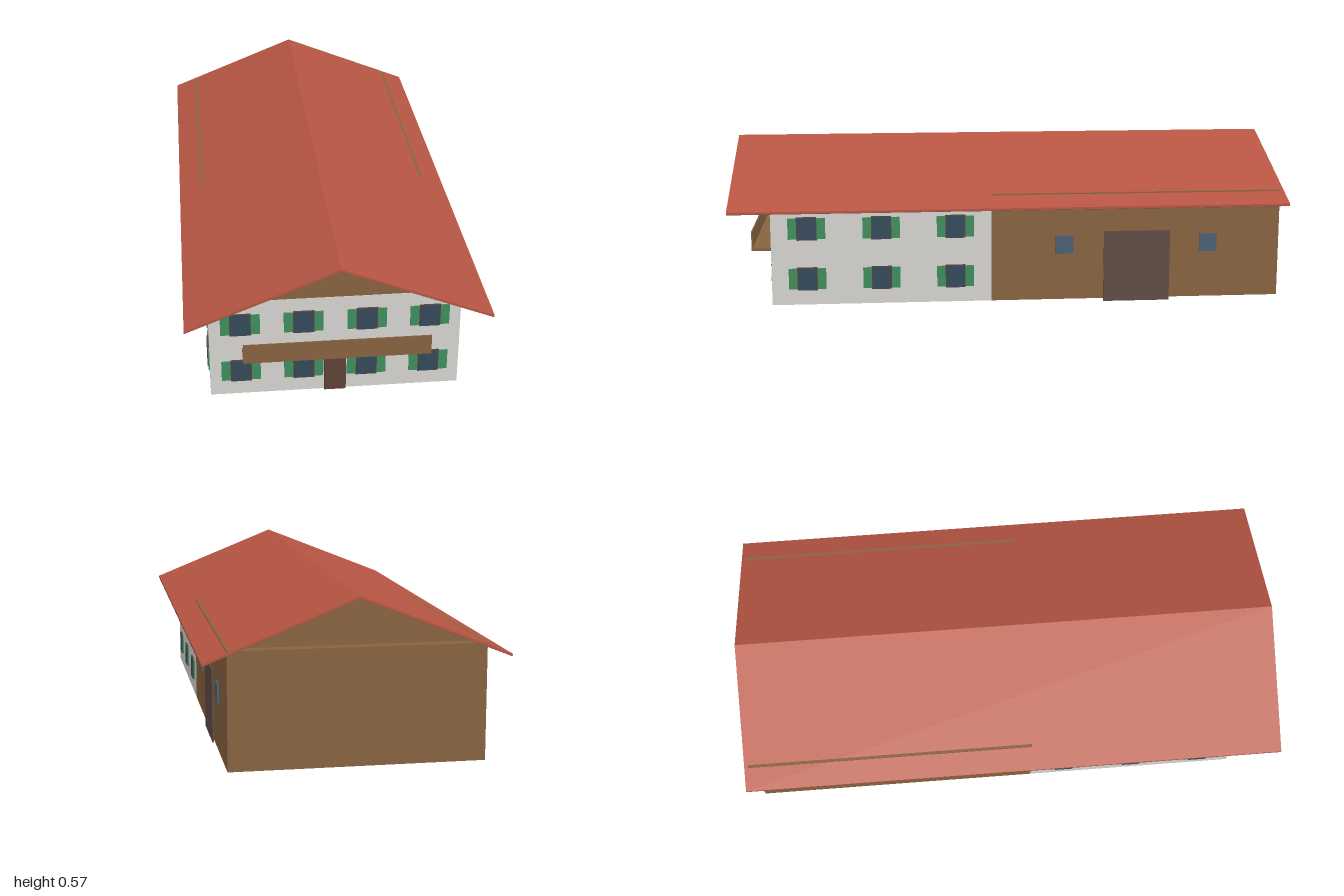
import * as THREE from 'three';

const mat = (name, color, side = THREE.FrontSide) => {
  const m = new THREE.MeshStandardMaterial({ color, side });
  m.name = name;
  return m;
};

export function createModel() {
  const plaster = mat('white plaster', 0xd6d4cf, THREE.DoubleSide);
  const timber = mat('brown timber', 0x87623f, THREE.DoubleSide);
  const tiles = mat('red tiles', 0xb65542);
  const darkWood = mat('dark wood', 0x604a43);
  const doorWood = mat('door wood', 0x5f4238);
  const green = mat('shutter green', 0x3f8d5c);
  const glass = mat('window glass', 0x34495a);
  const barnGlass = mat('barn glass', 0x4a6073);

  const model = new THREE.Group();
  model.name = 'farmhouse';

  const add = (parent, name, geometry, material) => {
    const mesh = new THREE.Mesh(geometry, material);
    mesh.name = name;
    parent.add(mesh);
    return mesh;
  };
  const box = (parent, name, material, w, h, d, x, y, z) => {
    const mesh = add(parent, name, new THREE.BoxGeometry(w, h, d), material);
    mesh.position.set(x, y, z);
    return mesh;
  };

  // Wall shells: boxes with chosen faces left open (order +x -x +y -y +z -z)
  const shell = (name, material, w, y0, y1, z0, z1, openFaces) => {
    const g = new THREE.BoxGeometry(w, y1 - y0, z1 - z0);
    const index = Array.from(g.index.array).filter((_, i) => !openFaces.includes(Math.floor(i / 6)));
    g.setIndex(index);
    g.clearGroups();
    add(model, name, g, material).position.set(0, (y0 + y1) / 2, (z0 + z1) / 2);
  };
  shell('houseWalls', plaster, 0.85, 0.01, 0.377, 0.07, 0.857, [3]);
  shell('barnWalls', timber, 0.85, 0.01, 0.402, -0.985, 0.07, [3, 4]);

  // Extruded profiles running along z
  const prism = (name, material, points, z0, z1) => {
    const shape = new THREE.Shape(points.map(([x, y]) => new THREE.Vector2(x, y)));
    const g = new THREE.ExtrudeGeometry(shape, { depth: z1 - z0, bevelEnabled: false });
    add(model, name, g, material).position.z = z0;
  };
  prism('gable', timber,
    [[-0.425, 0.377], [0.425, 0.377], [0.425, 0.389], [0, 0.557], [-0.425, 0.389]], -0.94, 0.855);

  // Roof: red slopes with a thin dark lining beneath
  const chevron = (top, t) => [
    [-0.505, top - 0.202], [-0.505, top - 0.202 - t], [0, top - t],
    [0.505, top - 0.202 - t], [0.505, top - 0.202], [0, top]];
  prism('roof', tiles, chevron(0.568, 0.008), -1, 1);
  prism('roofLining', darkWood, chevron(0.56, 0.001), -0.999, 0.999);

  // Shuttered window facing +z, centred on its own origin
  const shutteredWindow = (parent, x, y) => {
    const w = new THREE.Group();
    w.name = 'window';
    for (const s of [-1, 1]) box(w, 'shutter', green, 0.031, 0.076, 0.004, s * 0.051, 0, 0.002);
    box(w, 'windowFrame', doorWood, 0.072, 0.084, 0.005, 0, 0, 0.0025);
    box(w, 'windowPane', glass, 0.066, 0.079, 0.007, 0, 0, 0.0035);
    w.position.set(x, y, 0);
    parent.add(w);
  };

  // Front face
  const front = new THREE.Group();
  front.name = 'frontFittings';
  front.position.z = 0.857;
  model.add(front);
  for (const y of [0.105, 0.288])
    for (const x of [-0.32, -0.107, 0.107, 0.32]) shutteredWindow(front, x, y);
  box(front, 'frontDoor', doorWood, 0.074, 0.137, 0.008, 0, 0.0785, 0.004);

  // Balcony
  box(model, 'balconyFloor', timber, 0.63, 0.01, 0.078, 0, 0.19, 0.896);
  box(model, 'balconyRailing', timber, 0.63, 0.072, 0.004, 0, 0.221, 0.934);

  // Long sides: local +z points outwards, local x runs along the wall
  for (const s of [-1, 1]) {
    const side = new THREE.Group();
    side.name = s > 0 ? 'leftFittings' : 'rightFittings';
    side.position.x = s * 0.425;
    side.rotation.y = s * Math.PI / 2;
    model.add(side);
    for (const y of [0.105, 0.288])
      for (const z of [0.2, 0.465, 0.73]) shutteredWindow(side, -s * z, y);
    for (const z of [-0.195, -0.722])
      box(side, 'barnWindow', barnGlass, 0.064, 0.066, 0.006, -s * z, 0.213, 0.003);
    // Barn gate on one side only
    if (s > 0) box(side, 'barnGate', darkWood, 0.242, 0.26, 0.006, 0.46, 0.13, 0.003);
  }
  return model;
}
